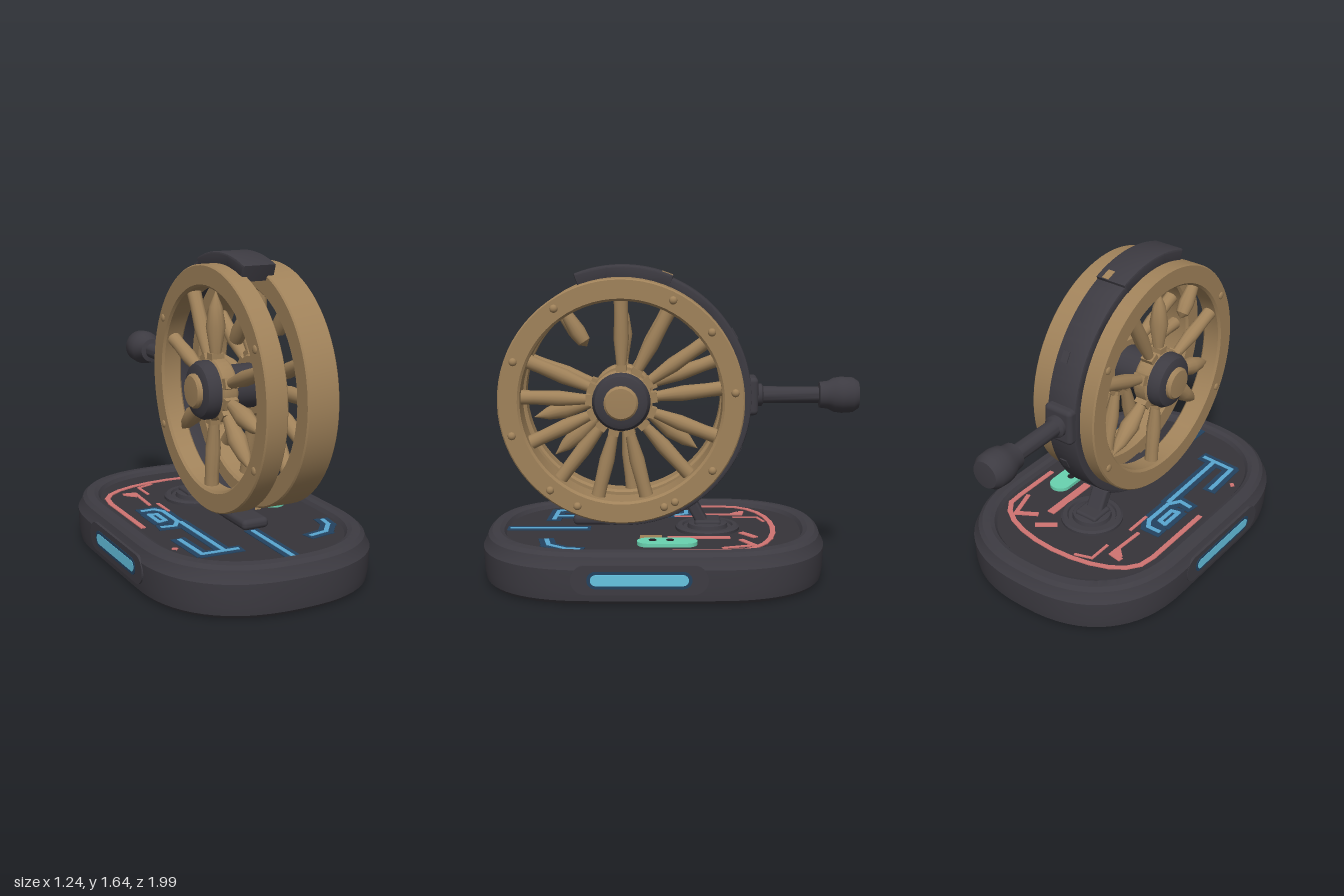
import * as THREE from 'three';
import { toCreasedNormals } from 'three/addons/utils/BufferGeometryUtils.js';
import { RoundedBoxGeometry } from 'three/addons/geometries/RoundedBoxGeometry.js';

const mat = (name, color) => Object.assign(new THREE.MeshStandardMaterial({ color }), { name });
const dark = mat('dark metal', 0x3d3b42);
const floorMat = mat('floor metal', 0x363439);
const wood = mat('bronze wood', 0xa0825a);
const blue = mat('light blue', 0x58a6d0);
const cyan = mat('glowing cyan', 0x66c4e2);
const navy = mat('deep blue', 0x24425f);
const red = mat('red', 0xcf7371);
const green = mat('green', 0x69d2b0);
const black = mat('black', 0x1f1e22);

const FLOOR = 0.232;
const rad = THREE.MathUtils.degToRad;

function add(parent, name, geo, material, x = 0, y = 0, z = 0) {
  const m = new THREE.Mesh(geo, material);
  m.name = name;
  m.position.set(x, y, z);
  parent.add(m);
  return m;
}

const lathe = (pts, seg = 32) =>
  toCreasedNormals(new THREE.LatheGeometry(pts.map(p => new THREE.Vector2(...p)), seg), 0.6);

// Solid with full rounded ends, built from [radius, height] sections
function stadium(profile) {
  const k = 32, n = 2 * (k + 1), pos = [], idx = [];
  const swell = t => Math.sign(t) * Math.abs(t) ** (2 / 2.4);
  for (const [r, y] of profile)
    for (let i = 0; i < n; i++) {
      const back = i > k;
      const a = Math.PI * (back ? 1 + (i - k - 1) / k : i / k);
      pos.push(r * swell(Math.cos(a)), y, (back ? -0.2 : 0.375) + r * swell(Math.sin(a)));
    }
  for (let j = 0; j < profile.length - 1; j++)
    for (let i = 0; i < n; i++) {
      const a = j * n + i, b = j * n + (i + 1) % n;
      idx.push(a, a + n, b, b, a + n, b + n);
    }
  const g = new THREE.BufferGeometry();
  g.setAttribute('position', new THREE.Float32BufferAttribute(pos, 3));
  g.setIndex(idx);
  return toCreasedNormals(g, 0.5);
}

// Flat pill extruded along z
function pill(length, height, depth) {
  const r = height / 2, s = length / 2 - r, shape = new THREE.Shape();
  shape.absarc(s, 0, r, -Math.PI / 2, Math.PI / 2);
  shape.absarc(-s, 0, r, Math.PI / 2, Math.PI * 1.5);
  return new THREE.ExtrudeGeometry(shape, { depth, bevelEnabled: false, curveSegments: 10 });
}

// Curved band between two radii and two angles, extruded from z0 to z1
function band(r0, r1, a0, a1, z0, z1) {
  const b = 0.01, shape = new THREE.Shape();
  shape.absarc(0, 0, r1 - b, rad(a0), rad(a1), false);
  shape.absarc(0, 0, r0 + b, rad(a1), rad(a0), true);
  const g = new THREE.ExtrudeGeometry(shape, {
    depth: z1 - z0 - 2 * b, bevelSize: b, bevelThickness: b, bevelSegments: 2, curveSegments: 48,
  });
  return toCreasedNormals(g.translate(0, 0, z0 + b), 0.6);
}

// Painted strip on the floor through [x, z] points
function strip(parent, name, pts, width, material, lift = 0.004) {
  for (let i = 0; i < pts.length - 1; i++) {
    const [x0, z0] = pts[i], [x1, z1] = pts[i + 1], dx = x1 - x0, dz = z1 - z0;
    const g = new THREE.BoxGeometry(Math.hypot(dx, dz) + width * 0.6, 0.005, width);
    add(parent, name, g, material, (x0 + x1) / 2, FLOOR + lift, (z0 + z1) / 2).rotation.y = Math.atan2(-dz, dx);
  }
}

function buildBase() {
  const base = new THREE.Group();
  base.name = 'base';
  add(base, 'baseBody', stadium([[0, 0], [0.585, 0], [0.604, 0.02], [0.612, 0.07], [0.616, 0.18], [0.602, 0.205],
    [0.59, 0.24], [0.57, 0.258], [0.53, 0.262], [0.508, 0.252], [0.495, FLOOR]]), dark);
  add(base, 'baseFloor', stadium([[0.496, FLOOR], [0, FLOOR]]), floorMat);

  // Side lights in their housings
  for (const s of [-1, 1]) {
    const side = new THREE.Group();
    side.name = 'sideLight';
    side.rotation.y = s * Math.PI / 2;
    side.position.set(0, 0.13, 0.15);
    add(side, 'lightHousing', pill(0.68, 0.15, 0.05), dark, 0, 0, 0.567);
    add(side, 'lightGlow', pill(0.52, 0.088, 0.005), navy, 0, 0, 0.614);
    add(side, 'lightBar', pill(0.485, 0.056, 0.005), cyan, 0, 0, 0.616);
    base.add(side);
  }

  // Red arch and markings
  const arch = [[-0.46, 0.15], [-0.46, -0.28]];
  for (let i = 1; i < 12; i++) {
    const a = Math.PI * (1 - i / 12);
    arch.push([0.46 * Math.cos(a), -0.28 - 0.27 * Math.sin(a) ** 0.8]);
  }
  arch.push([0.45, -0.28], [0.45, -0.02]);
  strip(base, 'redArch', arch, 0.028, red);
  for (const [width, pts] of [
    [0.03, [[-0.33, -0.4], [-0.27, -0.39]]], [0.035, [[-0.31, -0.38], [-0.28, -0.35]]],
    [0.02, [[-0.27, -0.38], [-0.28, -0.17]]], [0.016, [[-0.21, -0.35], [-0.21, -0.48], [-0.12, -0.51]]],
    [0.018, [[-0.23, -0.17], [-0.23, -0.03]]], [0.035, [[0.12, -0.38], [0.2, -0.44]]],
    [0.03, [[0.26, -0.37], [0.36, -0.43]]], [0.024, [[0.36, -0.43], [0.41, -0.27]]],
    [0.045, [[0.21, 0], [0.21, -0.3]]], [0.022, [[-0.45, 0.5], [-0.44, 0.51]]],
  ]) strip(base, 'redMark', pts, width, red);
  strip(base, 'bronzeMark', [[0.2, 0.06], [0.2, 0.14]], 0.06, wood);

  // Blue circuit lines with a darker surround
  for (const pts of [
    [[-0.36, -0.09], [-0.29, -0.09], [-0.26, -0.04], [-0.26, 0.14], [-0.3, 0.2], [-0.37, 0.19]],
    [[-0.35, -0.02], [-0.35, 0.11], [-0.31, 0.1], [-0.31, -0.01], [-0.35, -0.02]],
    [[-0.25, 0.16], [-0.24, 0.63]], [[-0.37, 0.4], [-0.36, 0.63], [-0.17, 0.64]],
    [[0.43, 0.46], [0.42, 0.53], [0.35, 0.62], [0.25, 0.64]], [[0.02, 0.45], [0.02, 0.85]],
  ]) {
    strip(base, 'blueSurround', pts, 0.08, navy, 0.001);
    strip(base, 'blueLine', pts, 0.024, blue);
  }

  // Green two-hole plate
  const plate = add(base, 'greenPlate', pill(0.31, 0.12, 0.02), green, 0.33, FLOOR, 0.015);
  plate.rotation.set(-Math.PI / 2, 0, Math.PI / 2);
  for (const z of [0, 0.09])
    add(base, 'plateHole', new THREE.CylinderGeometry(0.02, 0.02, 0.006, 12), black, 0.32, FLOOR + 0.02, z);

  // Stand: ringed disc, leg and front foot
  add(base, 'standDisc', lathe([[0.17, 0], [0.17, 0.015], [0.158, 0.024], [0.135, 0.024], [0.13, 0.012], [0.108, 0.012],
    [0.103, 0.034], [0.08, 0.04], [0, 0.04]], 40), dark, 0.01, FLOOR, -0.2);
  add(base, 'standLeg', new RoundedBoxGeometry(0.1, 0.2, 0.06, 2, 0.015), dark, 0.005, 0.33, -0.14).rotation.x = 0.5;
  add(base, 'standShoe', new RoundedBoxGeometry(0.14, 0.05, 0.14, 2, 0.015), dark, 0.005, 0.265, -0.2);
  add(base, 'frontFoot', new RoundedBoxGeometry(0.15, 0.055, 0.26, 3, 0.024), dark, 0.005, 0.292, 0.385);
  return base;
}

// Spoke profiles as [radius, distance from the hub centre]
const SPINDLE = [[0.028, 0.1], [0.026, 0.18], [0.04, 0.32], [0.036, 0.45], [0.038, 0.53]];
const POINTED = [[0.024, 0.1], [0.028, 0.18], [0.05, 0.32], [0.034, 0.42], [0, 0.5]];
const STUB = [[0, 0.33], [0.035, 0.36], [0.042, 0.42], [0.03, 0.53]];

// One wheel between depths a and b; out is the direction of its outer face
function buildWheel(a, b, out, spokes, bolts) {
  const wheel = new THREE.Group();
  wheel.name = out > 0 ? 'leftWheel' : 'rightWheel';
  const mid = (a + b) / 2, face = out > 0 ? b : a;
  add(wheel, 'rim', lathe([[0.53, a], [0.625, a], [0.632, a + 0.007], [0.632, b - 0.007], [0.625, b], [0.53, b],
    [0.518, b - 0.012], [0.518, a + 0.012], [0.53, a]], 72).rotateX(Math.PI / 2), wood);

  // Spokes by angle, with a collar wherever one meets the hub
  for (const [profile, angles] of spokes)
    for (const d of angles) {
      add(wheel, 'spoke', lathe(profile, 14), wood, 0, 0, mid).rotation.z = rad(d - 90);
      if (profile !== STUB)
        add(wheel, 'spokeCollar', new THREE.BoxGeometry(0.055, 0.06, 0.07).translate(0, 0.155, 0), wood, 0, 0, mid)
          .rotation.z = rad(d - 90);
    }

  // Rim bolts
  for (const d of bolts)
    add(wheel, 'rimBolt', new THREE.SphereGeometry(0.021, 12, 8), wood,
      0.585 * Math.cos(rad(d)), 0.585 * Math.sin(rad(d)), face).scale.z = out > 0 ? 0.8 : 0.4;

  // Hub: drum, dark collar and cap stacked outward
  const hub = new THREE.Group();
  hub.name = 'hub';
  hub.rotation.x = out * Math.PI / 2;
  hub.position.z = mid;
  const tip = out > 0 ? 0.118 : 0.14, edge = out > 0 ? 0.092 : 0.115;
  add(hub, 'hubDrum', lathe([[0, -0.05], [0.15, -0.05], [0.16, -0.035], [0.16, 0.03], [0.14, 0.045], [0, 0.045]]), wood);
  add(hub, 'hubCollar', lathe([[0.15, 0.02], [0.15, edge - 0.035], [0.135, edge - 0.01], [0.11, edge], [0, edge]]), dark);
  add(hub, 'hubCap', lathe([[0.09, edge - 0.02], [0.088, tip - 0.01], [0.078, tip], [0, tip + 0.004]], 20), wood);
  wheel.add(hub);
  return wheel;
}

// Wheel assembly: local x points to the back, local z is the axle
function buildWheels() {
  const g = new THREE.Group();
  g.name = 'wheelAssembly';
  g.position.set(0, 0.95, 0.25);
  g.rotation.y = Math.PI / 2;
  g.add(
    buildWheel(0.07, 0.245, 1, [[SPINDLE, [90, 62, 35, 7, -21, -48, -76, 256, 232, 205, 178, 157]], [STUB, [122]]],
      [63, 38, 5, -37, -62, -68, -113, -129, -163, 159, 125]),
    buildWheel(-0.15, -0.035, -1, [[SPINDLE, [20, 62, 160, 275]], [POINTED, [90, 195, 222, -37]], [STUB, [127]]],
      [30, -30, 150, -150]),
  );
  add(g, 'axle', new THREE.CylinderGeometry(0.115, 0.115, 0.2, 32).rotateX(Math.PI / 2), dark, 0, 0, 0.02);

  // Strap around the back, its narrow tail, inner web and thick top cap
  add(g, 'strap', band(0.615, 0.675, -62, 100, -0.065, 0.11), dark);
  add(g, 'strapTail', band(0.62, 0.685, -100, -55, -0.06, 0.08), dark);
  add(g, 'strapWeb', band(0.6, 0.64, -95, 100, -0.04, 0.075), dark);
  add(g, 'topCap', band(0.605, 0.69, 68, 110, -0.068, 0.113), dark);
  for (const d of [70, 30, -25])
    add(g, 'strapStud', new THREE.BoxGeometry(0.06, 0.01, 0.04).translate(0, d > 66 ? 0.688 : 0.675, 0),
      d > 66 ? wood : dark, 0, 0, 0.055).rotation.z = rad(d - 90);

  // Crank handle
  add(g, 'handlePlate', new RoundedBoxGeometry(0.09, 0.2, 0.17, 3, 0.025), dark, 0.665, 0.01, 0.02);
  add(g, 'handle', lathe([[0.06, 0.69], [0.06, 0.73], [0.045, 0.74], [0.043, 1.03], [0.068, 1.035], [0.074, 1.08],
    [0.09, 1.11], [0.096, 1.15], [0.092, 1.21], [0.072, 1.24], [0, 1.247]], 28).rotateZ(-Math.PI / 2), dark, 0, 0.01, 0.02);
  return g;
}

export function createModel() {
  const model = new THREE.Group();
  model.name = 'wheelOnBase';
  model.add(buildBase(), buildWheels());
  return model;
}
